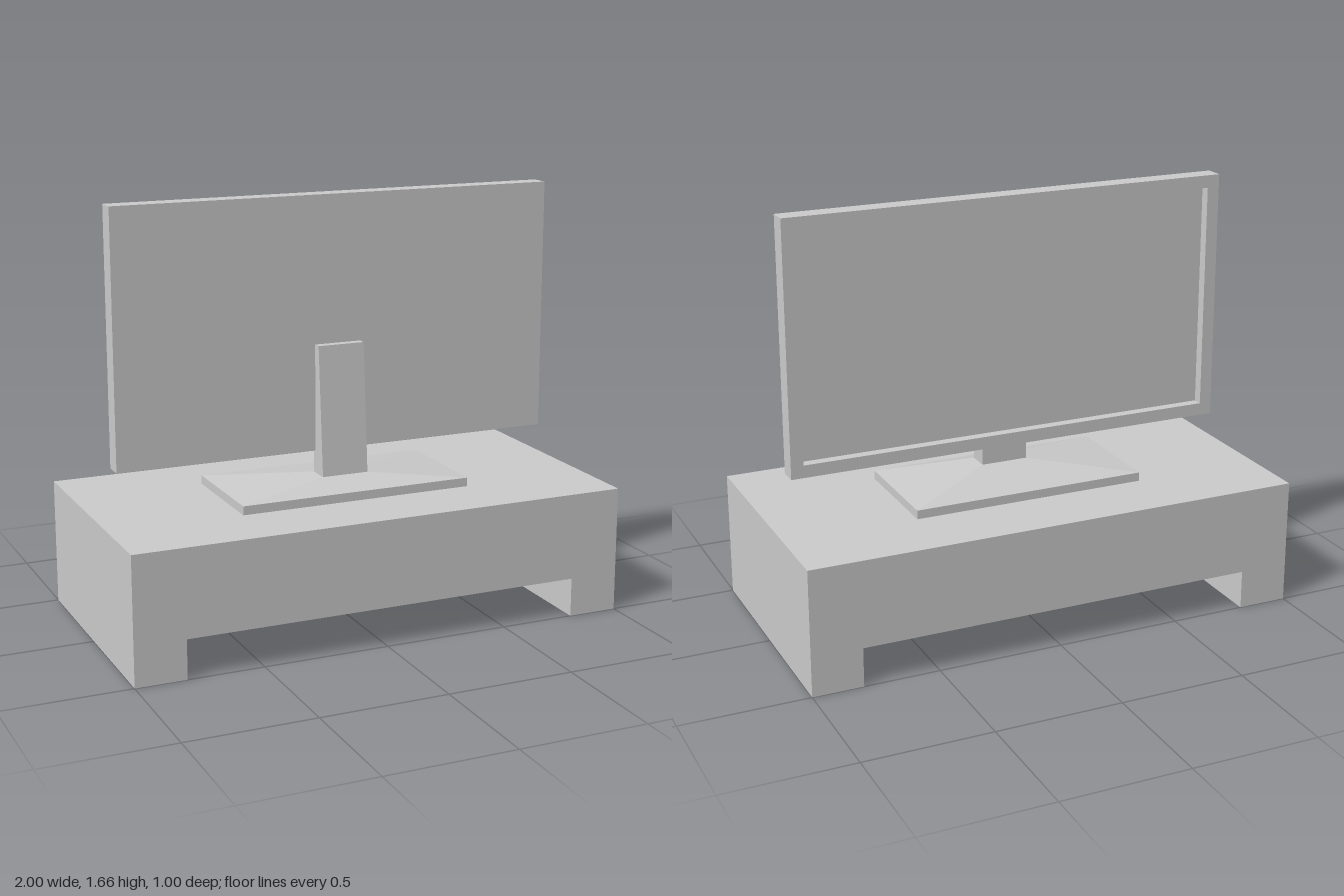
import * as THREE from 'three';

const material = new THREE.MeshStandardMaterial({ color: 0xcccccc, flatShading: true });

function addMesh(parent, name, geometry) {
  const mesh = new THREE.Mesh(geometry, material);
  mesh.name = name;
  parent.add(mesh);
  return mesh;
}

function polygon(points) {
  return new THREE.Shape(points.map(([x, y]) => new THREE.Vector2(x, y)));
}

function rectangle(x, y0, y1) {
  return [[-x, y0], [x, y0], [x, y1], [-x, y1]];
}

function extrude(shape, depth) {
  return new THREE.ExtrudeGeometry(shape, { depth, bevelEnabled: false });
}

// Solid through rectangular sections, each given as half width, back z, front z and height
function loftRectangles(sections) {
  const positions = [];
  const index = [];
  for (const [x, back, front, y] of sections) {
    positions.push(-x, y, front, x, y, front, x, y, back, -x, y, back);
  }
  for (let s = 0; s < sections.length - 1; s++) {
    for (let i = 0; i < 4; i++) {
      const a = s * 4 + i;
      const b = s * 4 + (i + 1) % 4;
      index.push(a, b, b + 4, a, b + 4, a + 4);
    }
  }
  const t = (sections.length - 1) * 4;
  index.push(0, 2, 1, 0, 3, 2, t, t + 1, t + 2, t, t + 2, t + 3);
  const geometry = new THREE.BufferGeometry();
  geometry.setAttribute('position', new THREE.Float32BufferAttribute(positions, 3));
  geometry.setIndex(index);
  const flat = geometry.toNonIndexed();
  flat.computeVertexNormals();
  return flat;
}

export function createModel() {
  const model = new THREE.Group();
  model.name = 'televisionOnCabinet';

  // Low cabinet with a full-depth gap between its two feet
  const cabinet = polygon([
    [-1, 0], [-0.8, 0], [-0.8, 0.155], [0.8, 0.155],
    [0.8, 0], [1, 0], [1, 0.5], [-1, 0.5],
  ]);
  addMesh(model, 'cabinet', extrude(cabinet, 1)).position.z = -0.5;

  const television = new THREE.Group();
  television.name = 'television';
  model.add(television);

  // Foot plate rising to the neck
  addMesh(television, 'standBase', loftRectangles([
    [0.473, -0.228, 0.228, 0.5],
    [0.473, -0.228, 0.228, 0.535],
    [0.095, 0.02, 0.108, 0.572],
  ]));

  // Neck leaning in towards the housing
  addMesh(television, 'standNeck', loftRectangles([
    [0.095, 0.02, 0.108, 0.572],
    [0.095, 0.02, 0.068, 1.083],
  ]));

  // Bezel frame around the recessed screen, which looks towards -z
  const bezel = polygon(rectangle(0.902, 0.662, 1.66));
  bezel.holes.push(polygon(rectangle(0.852, 0.712, 1.61)));
  addMesh(television, 'bezel', extrude(bezel, 0.04)).position.z = -0.042;

  // Housing, whose -z face is the screen
  const housing = new THREE.BoxGeometry(1.804, 0.998, 0.037);
  addMesh(television, 'screenHousing', housing).position.set(0, 1.161, 0.0165);

  return model;
}
